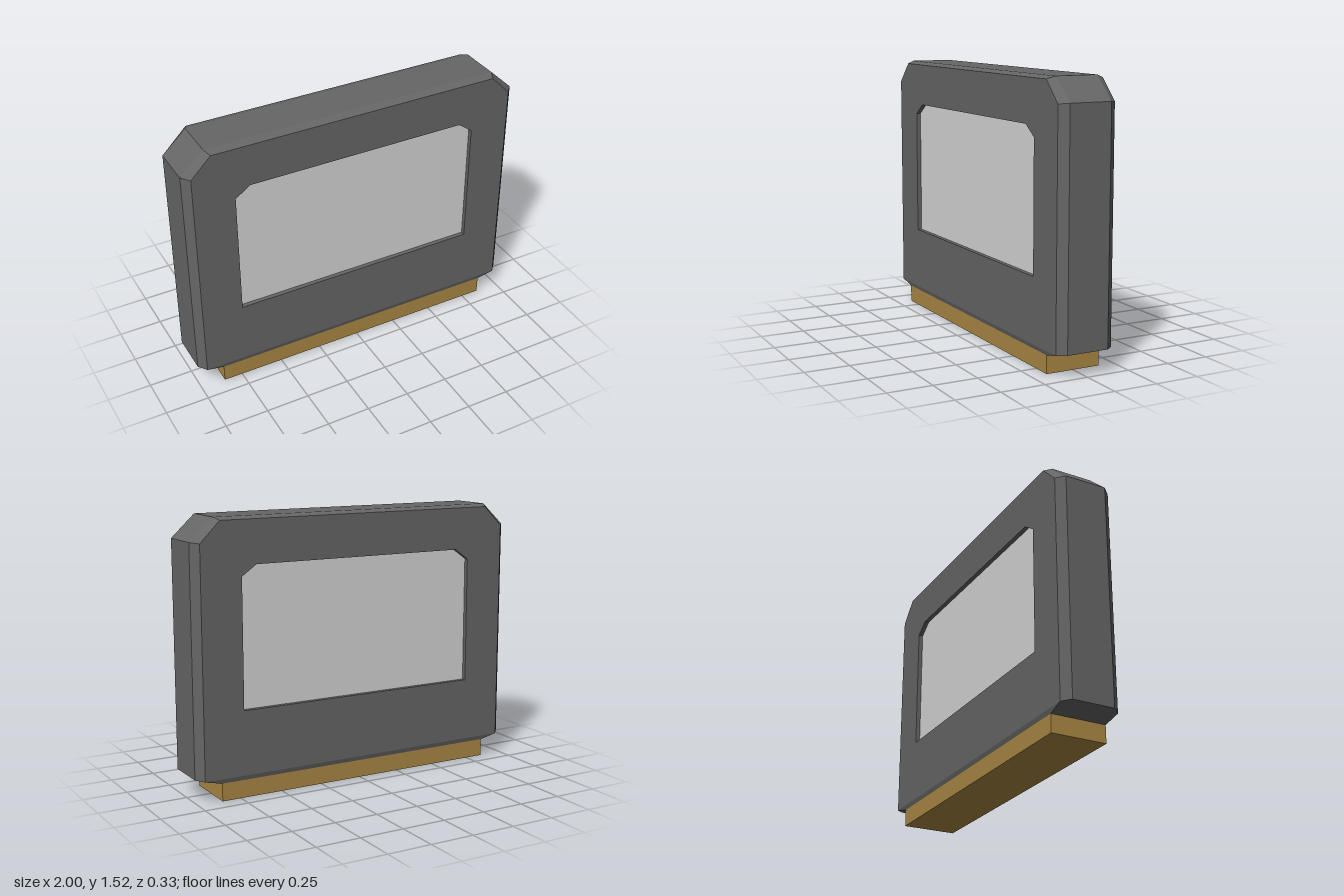
import * as THREE from 'three';

const FRONT = 0.165, RECESS = 0.025;

const bodyMat = new THREE.MeshStandardMaterial({ color: 0x666666 });
bodyMat.name = 'darkGrey';
const screenMat = new THREE.MeshStandardMaterial({ color: 0xd6d6d6 });
screenMat.name = 'lightGrey';
const baseMat = new THREE.MeshStandardMaterial({ color: 0xaa8844 });
baseMat.name = 'brass';

// Unshared quads keep every facet flat
function quadGeometry(quads) {
  const pos = [];
  for (const [a, b, c, d] of quads) pos.push(...a, ...b, ...c, ...a, ...c, ...d);
  const g = new THREE.BufferGeometry();
  g.setAttribute('position', new THREE.Float32BufferAttribute(pos, 3));
  g.computeVertexNormals();
  return g;
}

// Eight-sided plan ring: side corner (xa, ya, za) and face corner (xb, yb, zb), mirrored
function ring([xa, ya, za], [xb, yb, zb]) {
  return [
    [xb, yb, zb], [xa, ya, za], [xa, ya, -za], [xb, yb, -zb],
    [-xb, yb, -zb], [-xa, ya, -za], [-xa, ya, za], [-xb, yb, zb],
  ];
}

const rings = [
  ring([0.86, 0.10, 0.12], [0.86, 0.10, 0.158]),
  ring([1.0, 0.13, 0.12], [0.96, 0.125, FRONT]),
  ring([1.0, 1.4, 0.12], [0.96, 1.395, FRONT]),
  ring([0.865, 1.525, 0.12], [0.845, 1.51, FRONT]),
];

// Bevelled rim of the casing, left open at the two large faces
function rimGeometry() {
  const quads = [];
  for (let j = 0; j < 3; j++) {
    for (let i = 0; i < 8; i++) {
      if (j > 0 && (i === 3 || i === 7)) continue;
      const k = (i + 1) % 8, lo = rings[j], hi = rings[j + 1];
      quads.push([lo[i], lo[k], hi[k], hi[i]]);
    }
  }
  const top = rings[3], bottom = rings[0];
  for (const f of [[7, 0, 1, 6], [6, 1, 2, 5], [5, 2, 3, 4]]) {
    quads.push(f.map(i => top[i]));
    quads.push([...f].reverse().map(i => bottom[i]));
  }
  return quadGeometry(quads);
}

const toVectors = pts => pts.map(([x, y]) => new THREE.Vector2(x, y));
const faceOutline = [
  [-0.96, 0.125], [0.96, 0.125], [0.96, 1.395],
  [0.845, 1.51], [-0.845, 1.51], [-0.96, 1.395],
];
const screenOutline = [
  [-0.725, 0.487], [0.725, 0.487], [0.725, 1.21],
  [0.64, 1.27], [-0.64, 1.27], [-0.725, 1.21],
];

// One large face: framed panel, recess walls and sunken screen
function createFace(name) {
  const face = new THREE.Group();
  face.name = name;

  const shape = new THREE.Shape(toVectors(faceOutline));
  shape.holes.push(new THREE.Path(toVectors(screenOutline)));
  const frame = new THREE.Mesh(new THREE.ShapeGeometry(shape), bodyMat);
  frame.name = 'frame';
  frame.position.z = FRONT;

  const floor = FRONT - RECESS;
  const walls = new THREE.Mesh(quadGeometry(screenOutline.map((p, i) => {
    const q = screenOutline[(i + 1) % screenOutline.length];
    return [[...p, FRONT], [...q, FRONT], [...q, floor], [...p, floor]];
  })), bodyMat);
  walls.name = 'recessWalls';

  const screen = new THREE.Mesh(
    new THREE.ShapeGeometry(new THREE.Shape(toVectors(screenOutline))), screenMat);
  screen.name = 'screen';
  screen.position.z = floor;

  face.add(frame, walls, screen);
  return face;
}

export function createModel() {
  const model = new THREE.Group();
  model.name = 'framedPanel';

  const rim = new THREE.Mesh(rimGeometry(), bodyMat);
  rim.name = 'casingRim';

  const front = createFace('frontFace');
  const back = createFace('backFace');
  back.rotation.y = Math.PI;

  // Plinth under the casing
  const base = new THREE.Mesh(new THREE.BoxGeometry(1.716, 0.102, 0.316), baseMat);
  base.name = 'base';
  base.position.y = 0.051;

  model.add(rim, front, back, base);
  return model;
}
